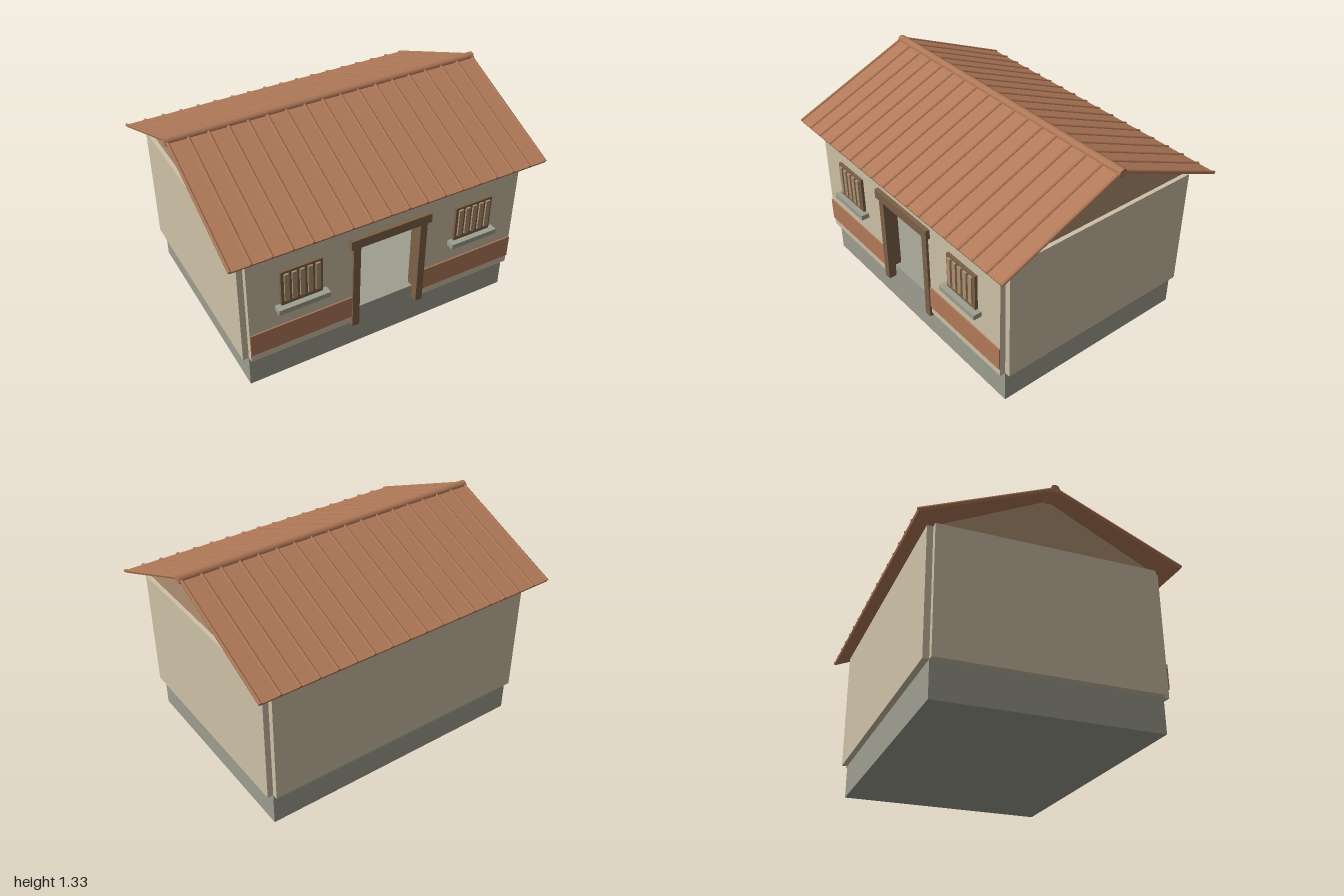
import * as THREE from 'three';

const mat = (name, color) => {
  const m = new THREE.MeshStandardMaterial({ color });
  m.name = name;
  return m;
};

export function createModel() {
  const house = new THREE.Group();
  house.name = 'house';

  const plaster = mat('plaster', 0xcec1a7);
  const stone = mat('stone', 0x9e9e90);
  const clay = mat('clay', 0xb27a59);
  const timber = mat('timber', 0x7c6248);
  const paleWood = mat('paleWood', 0xae9071);

  // box given by its limits on each axis
  const box = (name, material, [x0, x1], [y0, y1], [z0, z1], parent = house) => {
    const mesh = new THREE.Mesh(new THREE.BoxGeometry(x1 - x0, y1 - y0, z1 - z0), material);
    mesh.position.set((x0 + x1) / 2, (y0 + y1) / 2, (z0 + z1) / 2);
    mesh.name = name;
    parent.add(mesh);
    return mesh;
  };
  // limits mirrored to the given side
  const side = (s, a, b) => (s > 0 ? [a, b] : [-b, -a]);

  const X = 0.875, Z = 0.655, T = 0.035; // wall centre lines and half thickness
  const wallY = [0.21, 0.975];
  const frontZ = [Z - T, Z + T];
  const doorX = 0.22;

  // plinth, rising to floor level inside the walls
  box('plinth', stone, [-X, X], [0, 0.275], [-Z, Z]);

  // walls, with a doorway in the front
  box('backWall', plaster, [-X, X], wallY, [-Z - T, -Z + T]);
  box('wallAboveDoor', plaster, [-doorX, doorX], [0.79, 0.975], frontZ);

  // gable triangle
  const gableShape = new THREE.Shape();
  gableShape.moveTo(-Z, 0.973);
  gableShape.lineTo(Z, 0.973);
  gableShape.lineTo(0, 1.295);
  const gableGeo = new THREE.ExtrudeGeometry(gableShape, { depth: 0.02, bevelEnabled: false });
  gableGeo.translate(0, 0, -0.01).rotateY(Math.PI / 2);

  for (const s of [1, -1]) {
    const label = s > 0 ? 'left' : 'right';
    box(label + 'Wall', plaster, side(s, X - T, X + T), wallY, [-Z, Z]);
    box(label + 'FrontWall', plaster, side(s, doorX, X), wallY, frontZ);
    box(label + 'PaintedBand', clay, side(s, doorX, X), [0.262, 0.41], [0.69, 0.698]);
    box(label + 'DoorPost', timber, side(s, 0.195, 0.24), [0.19, 0.785], [0.615, 0.705]);

    const gable = new THREE.Mesh(gableGeo, paleWood);
    gable.position.x = s * X;
    gable.name = label + 'Gable';
    house.add(gable);

    // window: dark panel, pale slats and stone sill
    const win = new THREE.Group();
    win.name = label + 'Window';
    win.position.x = s * 0.56;
    box('windowFrame', timber, [-0.126, 0.126], [0.56, 0.795], [0.66, 0.708], win);
    for (let i = -2; i <= 2; i++) {
      const x = i * 0.047;
      box('slat', paleWood, [x - 0.014, x + 0.014], [0.595, 0.78], [0.7, 0.719], win);
    }
    box('sill', stone, [-0.157, 0.157], [0.532, 0.564], [0.66, 0.742], win);
    house.add(win);
  }
  box('lintel', timber, [-0.26, 0.26], [0.775, 0.835], [0.615, 0.716]);

  // roof slopes with raised seams
  const ridgeY = 1.305, eaveY = 0.975, eaveZ = 0.772;
  const pitch = Math.atan2(ridgeY - eaveY, eaveZ);
  const length = Math.hypot(ridgeY - eaveY, eaveZ);
  const seamGeo = new THREE.CylinderGeometry(0.01, 0.01, length, 6);
  seamGeo.rotateX(Math.PI / 2);
  for (const front of [true, false]) {
    const slope = new THREE.Group();
    slope.name = front ? 'frontRoofSlope' : 'backRoofSlope';
    box('roofSheet', clay, [-0.99, 0.99], [-0.007, 0.007], [0, length], slope);
    for (let i = 0; i < 18; i++) {
      const seam = new THREE.Mesh(seamGeo, clay);
      seam.position.set(-0.988 + (i * 1.976) / 17, 0.006, length / 2);
      seam.name = 'roofSeam';
      slope.add(seam);
    }
    slope.rotation.set(pitch, front ? 0 : Math.PI, 0, 'YXZ');
    slope.position.y = ridgeY;
    house.add(slope);
  }

  // ridge cap
  const ridge = new THREE.Mesh(new THREE.CylinderGeometry(0.027, 0.027, 2, 8), clay);
  ridge.rotation.z = Math.PI / 2;
  ridge.position.y = 1.303;
  ridge.name = 'ridgeCap';
  house.add(ridge);

  return house;
}
